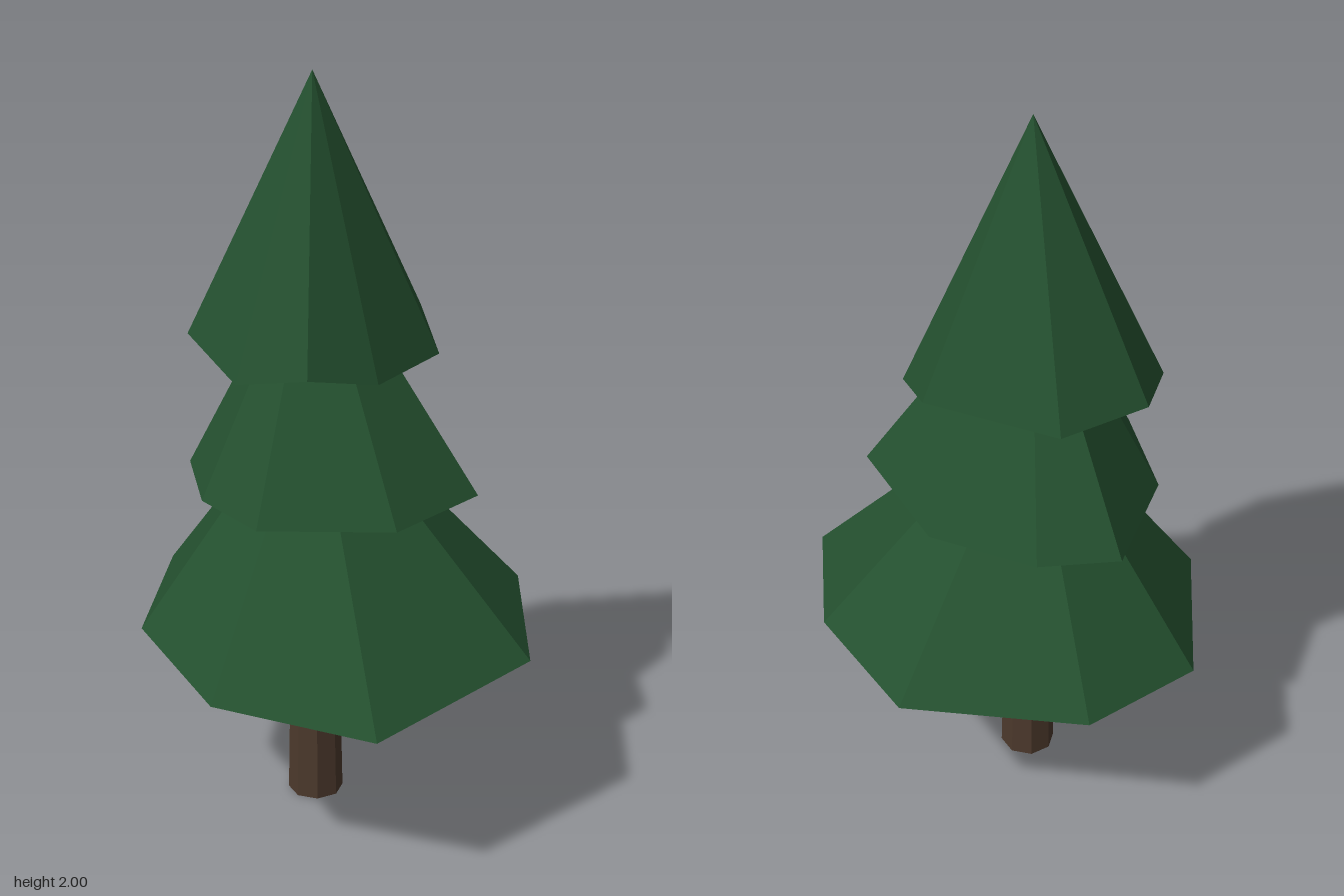
import * as THREE from 'three';

const AXIS = { x: -0.047, z: -0.057 };

const needles = new THREE.MeshStandardMaterial({ color: 0x24502f, flatShading: true });
needles.name = 'needle green';
const bark = new THREE.MeshStandardMaterial({ color: 0x4c392c, flatShading: true });
bark.name = 'bark brown';

// Closed cone from an uneven rim [x, y, z] up to an apex on the trunk axis
function makeTier(name, apexY, rim) {
  const apex = [AXIS.x, apexY, AXIS.z];
  const meanY = rim.reduce((sum, p) => sum + p[1], 0) / rim.length;
  const base = [AXIS.x, meanY, AXIS.z];
  const positions = [];
  rim.forEach((p, i) => {
    const next = rim[(i + 1) % rim.length];
    positions.push(...apex, ...next, ...p); // slope
    positions.push(...base, ...p, ...next); // underside
  });
  const geometry = new THREE.BufferGeometry();
  geometry.setAttribute('position', new THREE.Float32BufferAttribute(positions, 3));
  geometry.computeVertexNormals();
  const mesh = new THREE.Mesh(geometry, needles);
  mesh.name = name;
  return mesh;
}

export function createModel() {
  const tree = new THREE.Group();
  tree.name = 'pineTree';

  // Tapered eight-sided trunk, reaching into the lowest tier
  const height = 0.7;
  const trunkGeometry = new THREE.CylinderGeometry(0.06, 0.074, height, 8, 1, false, Math.PI / 8);
  const trunk = new THREE.Mesh(trunkGeometry, bark);
  trunk.name = 'trunk';
  trunk.position.set(AXIS.x, height / 2, AXIS.z);
  tree.add(trunk);

  // Three overlapping tiers of branches with ragged rims
  tree.add(makeTier('lowerBranches', 1.2, [
    [-0.254, 0.54, -0.536], [0.09, 0.55, -0.575], [0.464, 0.535, -0.262], [0.5, 0.58, 0.079],
    [0.321, 0.535, 0.441], [-0.19, 0.495, 0.571], [-0.5, 0.53, 0.28], [-0.5, 0.54, -0.167],
  ]));
  tree.add(makeTier('middleBranches', 1.6, [
    [-0.065, 0.942, -0.464], [0.126, 0.94, -0.374], [0.294, 0.935, -0.131], [0.27, 0.93, 0.244],
    [-0.01, 0.92, 0.329], [-0.315, 0.918, 0.161], [-0.391, 0.953, 0.003], [-0.309, 0.945, -0.262],
  ]));
  tree.add(makeTier('upperBranches', 2, [
    [-0.184, 1.315, -0.378], [0.065, 1.315, -0.377], [0.289, 1.335, -0.107], [0.239, 1.268, 0.085],
    [0.005, 1.262, 0.198], [-0.19, 1.305, 0.198], [-0.315, 1.268, 0.052], [-0.306, 1.3, -0.262],
  ]));

  return tree;
}
